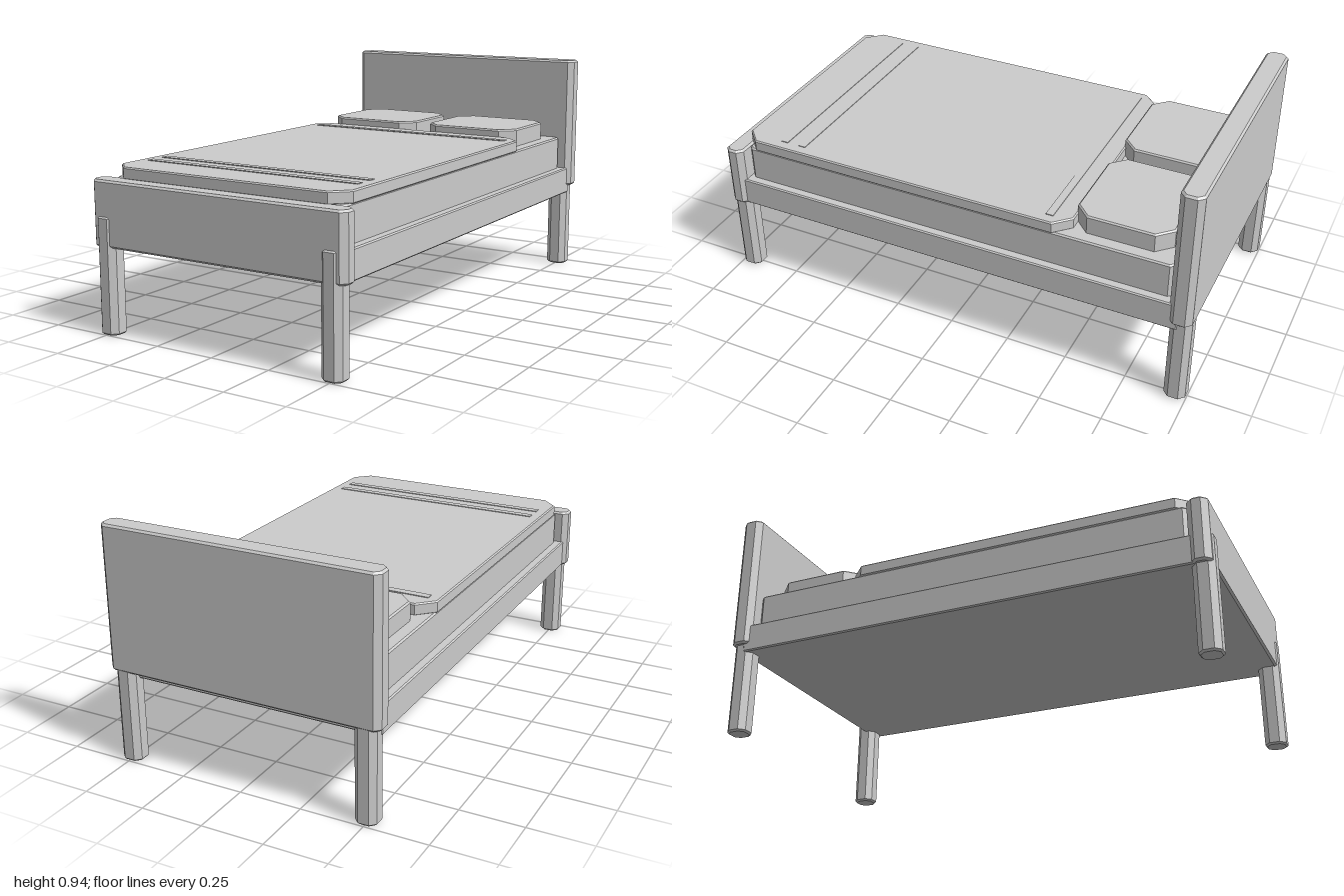
import * as THREE from 'three';

// Box given by its bounds, with corners cut in plan and a fine bevel above and below
function chamferBox([x0, x1], [y0, y1], [z0, z1], cut, bevel) {
  const w = (x1 - x0) / 2 - bevel, d = (z1 - z0) / 2 - bevel, c = cut;
  const shape = new THREE.Shape([
    [w, -d + c], [w, d - c], [w - c, d], [-w + c, d],
    [-w, d - c], [-w, -d + c], [-w + c, -d], [w - c, -d],
  ].map(([x, y]) => new THREE.Vector2(x, y)));
  const geometry = new THREE.ExtrudeGeometry(shape, {
    depth: y1 - y0 - 2 * bevel, bevelEnabled: true, bevelSegments: 1,
    bevelThickness: bevel, bevelSize: bevel,
  });
  geometry.rotateX(-Math.PI / 2);
  geometry.translate((x0 + x1) / 2, y0 + bevel, (z0 + z1) / 2);
  return geometry;
}

export function createModel() {
  const bed = new THREE.Group();
  bed.name = 'bed';
  const grey = new THREE.MeshStandardMaterial({ color: 0xcccccc });
  grey.name = 'light grey';

  const add = (name, geometry) => {
    const mesh = new THREE.Mesh(geometry, grey);
    mesh.name = name;
    bed.add(mesh);
  };

  // Boards and frame
  add('headboard', chamferBox([-0.56, 0.56], [0.37, 0.94], [-1, -0.91], 0.018, 0.008));
  add('footboard', chamferBox([-0.56, 0.56], [0.337, 0.592], [0.914, 0.994], 0.018, 0.008));
  add('frame', chamferBox([-0.545, 0.545], [0.337, 0.452], [-0.955, 0.95], 0.012, 0.005));

  // Mattress and blanket
  add('mattress', chamferBox([-0.51, 0.51], [0.44, 0.592], [-0.908, 0.91], 0.015, 0.006));
  add('blanket', chamferBox([-0.513, 0.513], [0.588, 0.636], [-0.495, 0.93], 0.06, 0.005));

  // Thin bands across the blanket
  for (const z of [0.755, 0.674, -0.406]) {
    const band = new THREE.BoxGeometry(0.94, 0.005, 0.03);
    band.translate(0, 0.6365, z);
    add('blanketBand', band);
  }

  // Pillows and legs, mirrored left and right
  for (const [side, s] of [['left', 1], ['right', -1]]) {
    const span = (a, b) => (s > 0 ? [a, b] : [-b, -a]);
    add(side + 'Pillow', chamferBox(span(0.035, 0.458), [0.585, 0.667], [-0.87, -0.49], 0.055, 0.006));
    add(side + 'FrontLeg', chamferBox(span(0.455, 0.541), [0, 0.455], [0.915, 1], 0.018, 0.007));
    add(side + 'BackLeg', chamferBox(span(0.455, 0.541), [0, 0.455], [-0.997, -0.912], 0.018, 0.007));
  }
  return bed;
}
